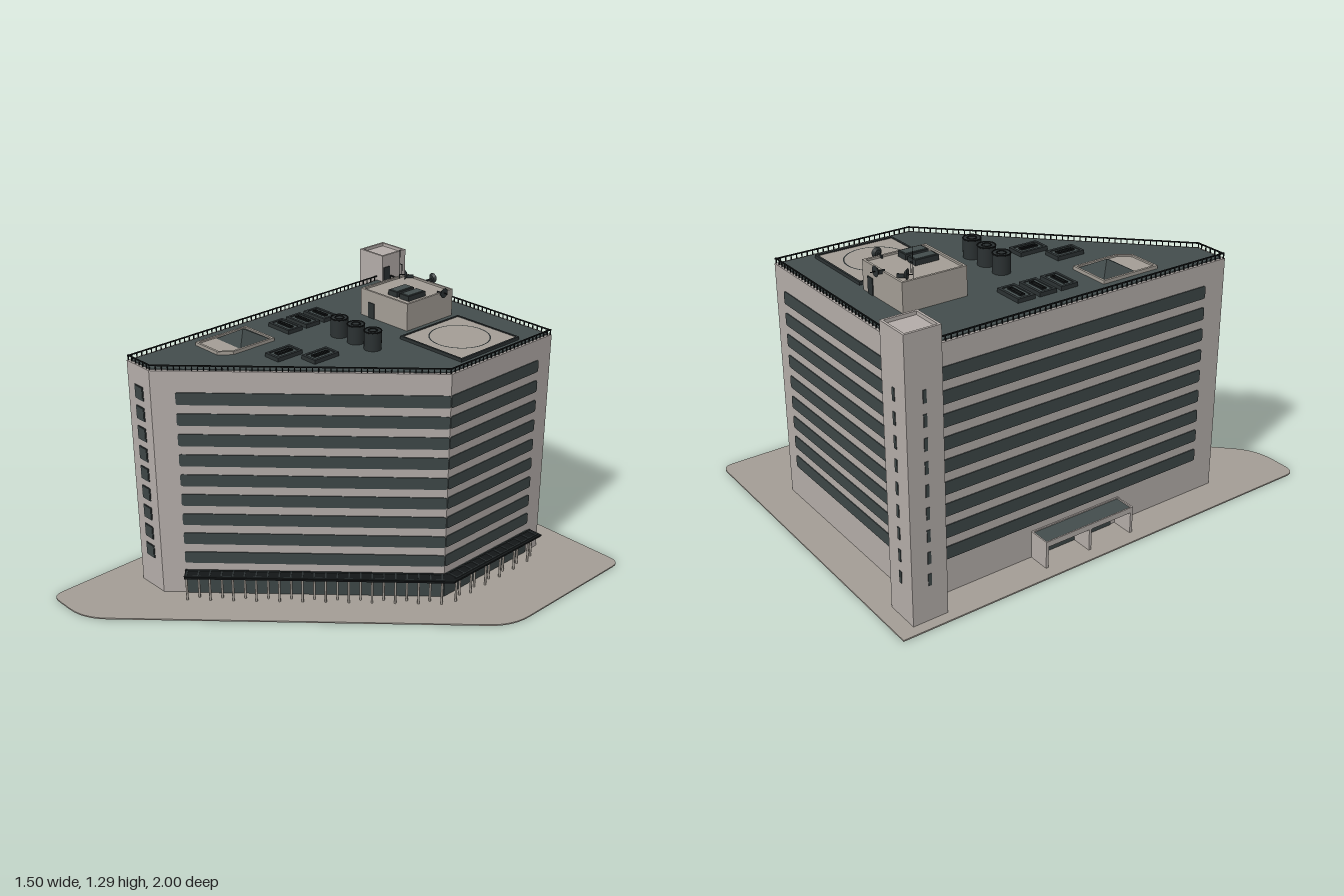
import * as THREE from 'three';
import { mergeGeometries } from 'three/addons/utils/BufferGeometryUtils.js';

const paint = (name, color) => Object.assign(new THREE.MeshStandardMaterial({ color }), { name });

export function createModel() {
  const wall = paint('wall', 0xb3aca8), concrete = paint('concrete', 0xa39d95);
  const glass = paint('glass', 0x3d4646), roofing = paint('roofing', 0x434d4d);
  const metal = paint('dark metal', 0x2b3132), black = paint('black', 0x131617);
  const model = new THREE.Group();
  model.name = 'officeBuilding';

  const add = (name, geo, mat, parent = model) => {
    const m = new THREE.Mesh(geo, mat);
    m.name = name;
    parent.add(m);
    return m;
  };
  // Box given by its lower and upper limits
  const boxGeo = (x0, x1, y0, y1, z0, z1) => new THREE.BoxGeometry(x1 - x0, y1 - y0, z1 - z0)
    .translate((x0 + x1) / 2, (y0 + y1) / 2, (z0 + z1) / 2);
  // Polygon in plan (x, z, corner radius), extruded upward
  const planPath = (pts, path) => {
    pts.forEach(([x, z, r = 0], i) => {
      const p = new THREE.Vector2(x, -z), n = pts.length;
      const toward = (q) => new THREE.Vector2(q[0], -q[1]).sub(p).setLength(r).add(p);
      const a = toward(pts[(i + n - 1) % n]), b = toward(pts[(i + 1) % n]);
      if (i) path.lineTo(a.x, a.y); else path.moveTo(a.x, a.y);
      if (r) path.quadraticCurveTo(p.x, p.y, b.x, b.y);
    });
    path.closePath();
    return path;
  };
  const slabGeo = (pts, y0, y1, hole) => {
    const s = planPath(pts, new THREE.Shape());
    if (hole) s.holes.push(planPath(hole, new THREE.Path()));
    return new THREE.ExtrudeGeometry(s, { depth: y1 - y0, bevelEnabled: false, curveSegments: 6 })
      .rotateX(-Math.PI / 2).translate(0, y0, 0);
  };
  const rect = (x0, x1, z0, z1) => [[x0, z0], [x0, z1], [x1, z1], [x1, z0]];
  const rimGeo = (x0, x1, y0, y1, z0, z1, t) =>
    slabGeo(rect(x0, x1, z0, z1), y0, y1, rect(x0 + t, x1 - t, z0 + t, z1 - t));
  // Upright plate with rounded corners, facing +z
  const plateGeo = (x0, x1, y0, y1, r, z = 0, d = 0.004) => {
    const s = new THREE.Shape();
    s.moveTo(x0 + r, y0).lineTo(x1 - r, y0).quadraticCurveTo(x1, y0, x1, y0 + r)
      .lineTo(x1, y1 - r).quadraticCurveTo(x1, y1, x1 - r, y1)
      .lineTo(x0 + r, y1).quadraticCurveTo(x0, y1, x0, y1 - r)
      .lineTo(x0, y0 + r).quadraticCurveTo(x0, y0, x0 + r, y0);
    return new THREE.ExtrudeGeometry(s, { depth: d, bevelEnabled: false, curveSegments: 3 }).translate(0, 0, z);
  };

  // Ground plate and main block
  add('groundPlate', slabGeo([[-0.75, -1], [-0.75, 1, 0.05], [-0.52, 1, 0.1], [0.75, -0.27, 0.1], [0.75, -1, 0.05]], 0, 0.006), concrete);
  const plan = [[-0.6, 0.63], [-0.45, 0.63], [0.4, -0.22], [0.4, -0.84], [-0.6, -0.84]];
  add('mainBlock', slabGeo(plan, 0.005, 1.04), wall);
  add('roofDeck', slabGeo([[-0.588, 0.618], [-0.455, 0.618], [0.388, -0.225], [0.388, -0.828], [-0.588, -0.828]], 1.036, 1.043), roofing);

  // Facades: window rows and roof railing; [start, end, corner radius] along each edge
  const spans = [[0.05, 0.097, 0.004], [0.1, 1.202, 0.01], [0, 0.54, 0.01], [0.07, 0.9, 0.01], [0.1, 1.37, 0.01]];
  const rows = Array.from({ length: 9 }, (_, i) => 0.182 + 0.0923 * i);
  plan.forEach((a, i) => {
    const b = plan[(i + 1) % plan.length], dx = b[0] - a[0], dz = b[1] - a[1], len = Math.hypot(dx, dz);
    const side = new THREE.Group();
    side.name = 'facade' + (i + 1);
    side.position.set(a[0], 0, a[1]);
    side.rotation.y = Math.atan2(-dz, dx);
    model.add(side);
    const [s, e, r] = spans[i];
    add('windows', mergeGeometries(rows.map(y => plateGeo(s, e, y - 0.027, y + 0.027, r))), glass, side);
    if (i === 0) {
      const frames = rows.map(y => plateGeo(s - 0.005, e + 0.005, y - 0.031, y + 0.031, 0.004, 0, 0.002));
      add('windowFrames', mergeGeometries(frames), metal, side);
    }
    const rail = [boxGeo(0, len, 1.058, 1.063, -0.009, -0.004)];
    const n = Math.round(len / 0.024);
    for (let k = 0; k < n; k++) {
      const x = k * len / n;
      rail.push(boxGeo(x, x + 0.004, 1.04, 1.06, -0.009, -0.005));
    }
    add('roofRailing', mergeGeometries(rail), black, side);

    // Glazed ground floor with columns and canopy rungs on the two entrance sides
    if (i === 1 || i === 2) {
      add('groundFloorGlass', boxGeo(s, e, 0.006, 0.118, 0, 0.004), glass, side);
      const cols = [], rungs = [], count = Math.round((e - s) / 0.05);
      for (let k = 0; k <= count; k++) {
        const x = s + 0.01 + (e - s - 0.02) * k / count;
        cols.push(new THREE.CylinderGeometry(0.005, 0.005, 0.112, 8).translate(x, 0.062, k % 2 ? 0.04 : 0.062));
        rungs.push(boxGeo(x - 0.003, x + 0.003, 0.123, 0.126, 0.012, 0.066));
      }
      add('columns', mergeGeometries(cols), concrete, side);
      add('canopyRungs', mergeGeometries(rungs), metal, side);
      for (const z of [0.014, 0.062]) add('canopyRail', boxGeo(s, e, 0.123, 0.127, z, z + 0.005), metal, side);
    }
  });
  add('canopy', slabGeo([[-0.375, 0.565], [-0.325, 0.61], [0.48, -0.195], [0.48, -0.77], [0.41, -0.77], [0.41, -0.22]], 0.116, 0.124), black);

  // Stair tower at the back corner
  add('stairTower', boxGeo(-0.705, -0.555, 0.005, 1.153, -0.93, -0.78), wall);
  add('towerParapet', rimGeo(-0.705, -0.555, 1.153, 1.167, -0.93, -0.78, 0.01), wall);
  add('towerDoor', boxGeo(-0.556, -0.551, 1.043, 1.11, -0.825, -0.787), metal);
  add('towerSlits', mergeGeometries(rows.flatMap(y => [
    boxGeo(-0.637, -0.623, y - 0.025, y + 0.025, -0.933, -0.929),
    boxGeo(-0.708, -0.704, y - 0.025, y + 0.025, -0.862, -0.848)])), glass);

  // Side porch
  add('porchRoof', boxGeo(-0.695, -0.6, 0.1, 0.115, -0.32, 0.115), wall);
  add('porchRoofing', boxGeo(-0.688, -0.602, 0.114, 0.119, -0.313, 0.108), roofing);
  add('porchParapet', rimGeo(-0.695, -0.6, 0.115, 0.124, -0.32, 0.115, 0.006), wall);
  for (const z of [-0.32, -0.108, 0.103]) add('porchWall', boxGeo(-0.695, -0.6, 0.005, 0.1, z, z + 0.012), wall);
  add('porchDoor', boxGeo(-0.604, -0.6, 0.006, 0.09, -0.29, 0.08), glass);

  // Rooftop plant room
  add('plantRoom', boxGeo(-0.32, -0.04, 1.04, 1.156, -0.695, -0.415), concrete);
  add('plantParapet', rimGeo(-0.32, -0.04, 1.156, 1.164, -0.695, -0.415, 0.01), concrete);
  add('plantDoorFront', boxGeo(-0.272, -0.236, 1.043, 1.112, -0.416, -0.411), metal);
  add('plantDoorBack', boxGeo(-0.115, -0.08, 1.043, 1.112, -0.699, -0.694), metal);
  for (const x of [-0.196, -0.127]) {
    add('ventBox', boxGeo(x, x + 0.053, 1.156, 1.178, -0.56, -0.457), metal);
    add('ventCover', boxGeo(x + 0.006, x + 0.047, 1.178, 1.181, -0.554, -0.463), roofing);
  }
  add('antennaMast', new THREE.CylinderGeometry(0.0015, 0.0015, 0.13, 6).translate(-0.308, 1.222, -0.64), metal);
  add('antennaArm', boxGeo(-0.308, -0.293, 1.222, 1.225, -0.6415, -0.6385), metal);
  add('antennaTip', new THREE.CylinderGeometry(0.0015, 0.0015, 0.045, 6).translate(-0.294, 1.203, -0.64), metal);

  // Satellite dishes: position and heading
  for (const [x, y, z, turn] of [[-0.185, 1.17, -0.72, Math.PI], [-0.025, 1.168, -0.62, Math.PI / 2], [-0.285, 1.176, -0.655, -0.8]]) {
    const dish = new THREE.Group();
    dish.name = 'satelliteDish';
    dish.position.set(x, y, z);
    dish.rotation.y = turn;
    model.add(dish);
    add('dishBowl', new THREE.CylinderGeometry(0.022, 0.012, 0.01, 16).rotateX(Math.PI / 2), metal, dish);
    add('dishFeed', new THREE.CylinderGeometry(0.002, 0.002, 0.03, 6).rotateX(Math.PI / 2).translate(0, 0, 0.01), black, dish);
    add('dishArm', boxGeo(-0.003, 0.003, -0.015, 0, -0.035, 0), metal, dish);
  }

  // Landing pad with ring
  add('landingPad', boxGeo(0.005, 0.345, 1.04, 1.054, -0.685, -0.335), concrete);
  add('padEdge', rimGeo(0.002, 0.348, 1.042, 1.057, -0.688, -0.332, 0.009), metal);
  add('padRing', new THREE.RingGeometry(0.125, 0.131, 48).rotateX(-Math.PI / 2).translate(0.175, 1.0555, -0.51), metal);

  // Water tanks
  for (const x of [-0.202, -0.102, -0.002]) {
    add('tank', new THREE.CylinderGeometry(0.037, 0.037, 0.08, 24).translate(x, 1.083, -0.175), metal);
    for (const r of [0.036, 0.018]) {
      add('tankRing', new THREE.TorusGeometry(r, 0.003, 6, 24).rotateX(Math.PI / 2).translate(x, 1.123, -0.175), black);
    }
  }

  // Cooling units
  const units = [[-0.487, -0.355, -0.305, -0.226], [-0.487, -0.355, -0.205, -0.126], [-0.487, -0.355, -0.104, -0.025],
    [-0.12, -0.04, -0.022, 0.112], [-0.24, -0.158, 0.072, 0.204]];
  for (const [x0, x1, z0, z1] of units) {
    const mx = x1 - x0 > z1 - z0 ? 0.026 : 0.029, mz = x1 - x0 > z1 - z0 ? 0.029 : 0.026;
    add('coolingUnit', boxGeo(x0 + 0.004, x1 - 0.004, 1.04, 1.056, z0 + 0.004, z1 - 0.004), roofing);
    add('coolingRim', rimGeo(x0, x1, 1.04, 1.06, z0, z1, 0.012), metal);
    add('coolingSlot', rimGeo(x0 + mx, x1 - mx, 1.055, 1.062, z0 + mz, z1 - mz, 0.005), black);
  }

  // Pyramid skylight on its tray
  const tray = [[-0.53, 0.065], [-0.53, 0.335], [-0.385, 0.335], [-0.343, 0.285], [-0.343, 0.065]];
  const trayInner = [[-0.52, 0.075], [-0.52, 0.325], [-0.39, 0.325], [-0.353, 0.281], [-0.353, 0.075]];
  add('skylightTray', slabGeo(tray, 1.04, 1.05), concrete);
  add('skylightRim', slabGeo(tray, 1.05, 1.057, trayInner), concrete);
  const pyramid = new THREE.ConeGeometry(0.08 * Math.SQRT2, 0.045, 4, 1).toNonIndexed();
  pyramid.computeVertexNormals();
  add('skylight', pyramid.rotateY(Math.PI / 4).translate(-0.436, 1.0725, 0.156), glass);

  return model;
}
